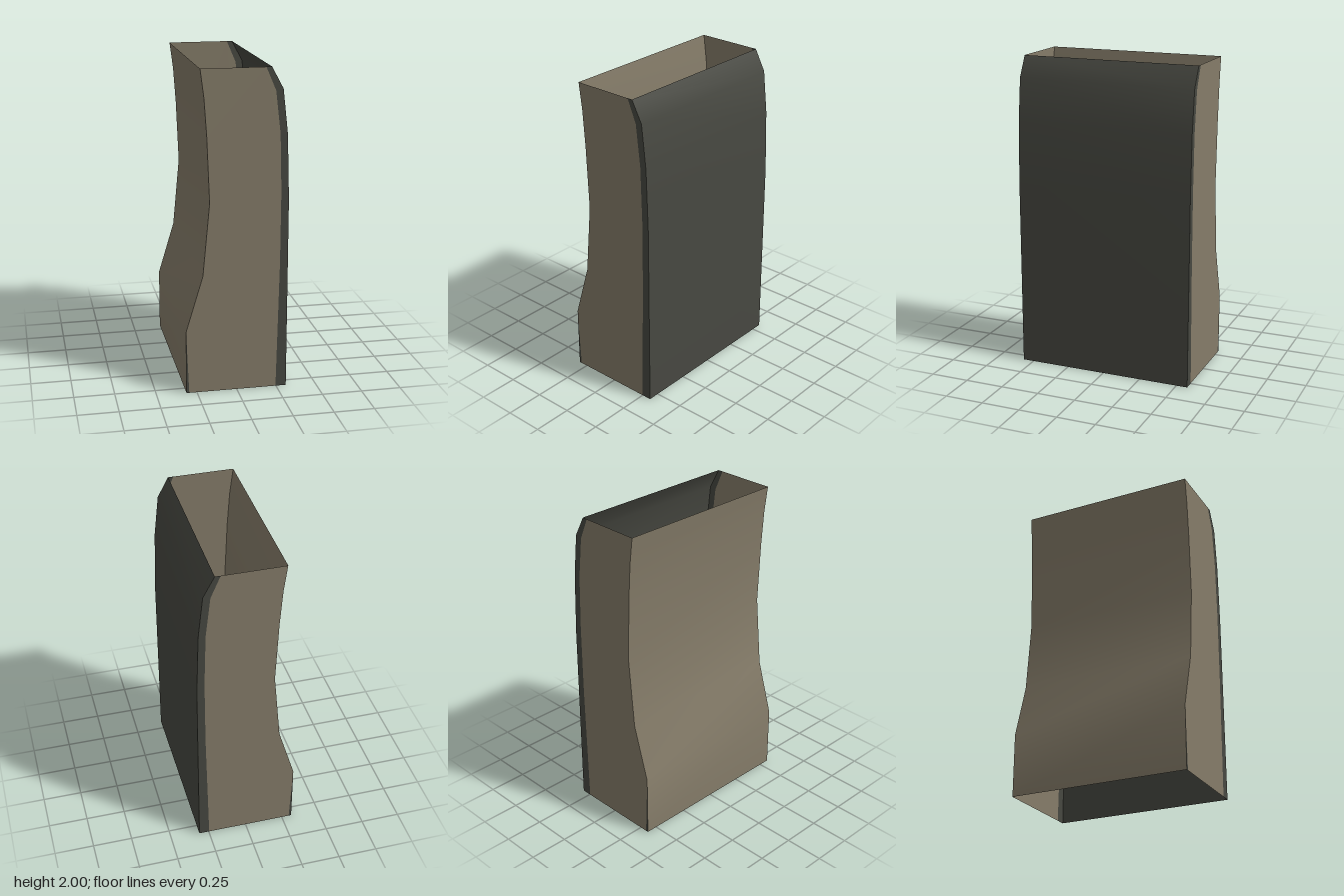
import * as THREE from 'three';

const HALF_DEPTH = 0.572;

// Profiles from bottom to top as [x, y]
const innerSide = [[-0.315, 0], [-0.315, 0.4], [-0.21, 0.75], [-0.168, 1.2], [-0.184, 1.6], [-0.2, 1.83], [-0.222, 2]];
const outerSide = [[0.313, 0], [0.313, 1.2], [0.3, 1.6], [0.27, 1.87], [0.2, 2]];
const trimLine = [[0.247, 0], [0.264, 0.8], [0.266, 1.25], [0.256, 1.6], [0.226, 1.86], [0.166, 2]];

// Smooth sheet swept along z from a profile
function wallGeometry(profile, outward) {
  const positions = [], index = [];
  profile.forEach(([x, y], i) => {
    positions.push(x, y, HALF_DEPTH, x, y, -HALF_DEPTH);
    if (i === 0) return;
    const a = 2 * i - 2, b = a + 1, c = a + 2, d = a + 3;
    if (outward > 0) index.push(a, b, c, b, d, c);
    else index.push(a, c, b, b, c, d);
  });
  const geometry = new THREE.BufferGeometry();
  geometry.setAttribute('position', new THREE.Float32BufferAttribute(positions, 3));
  geometry.setIndex(index);
  geometry.computeVertexNormals();
  return geometry;
}

// Flat panel at one end; the back one is turned round to face -z
function panelGeometry(outline, end) {
  const points = outline.map(([x, y]) => new THREE.Vector2(x * end, y));
  const geometry = new THREE.ShapeGeometry(new THREE.Shape(points));
  geometry.translate(0, 0, HALF_DEPTH);
  if (end < 0) geometry.rotateY(Math.PI);
  return geometry;
}

export function createModel() {
  const model = new THREE.Group();
  model.name = 'openSleeve';
  const make = (name, color) => {
    const material = new THREE.MeshStandardMaterial({ color, side: THREE.DoubleSide });
    material.name = name;
    return material;
  };
  const beige = make('warm beige', 0x857c69);
  const dark = make('dark grey', 0x474841);

  const add = (name, geometry, material) => {
    const mesh = new THREE.Mesh(geometry, material);
    mesh.name = name;
    model.add(mesh);
  };

  // Long curved walls, open at top and bottom
  add('curvedInnerWall', wallGeometry(innerSide, -1), beige);
  add('darkOuterWall', wallGeometry(outerSide, 1), dark);

  // End panels with dark trim along the outer edge and a sliver at the foot
  const foot = [-0.298, 0];
  const panel = [foot, ...trimLine, ...innerSide.slice(1).reverse()];
  const trim = [...outerSide, ...trimLine.slice().reverse()];
  const sliver = [innerSide[0], foot, innerSide[1]];
  for (const [side, end] of [['front', 1], ['back', -1]]) {
    add(side + 'Panel', panelGeometry(panel, end), beige);
    add(side + 'EdgeTrim', panelGeometry(trim, end), dark);
    add(side + 'FootTrim', panelGeometry(sliver, end), dark);
  }
  return model;
}
